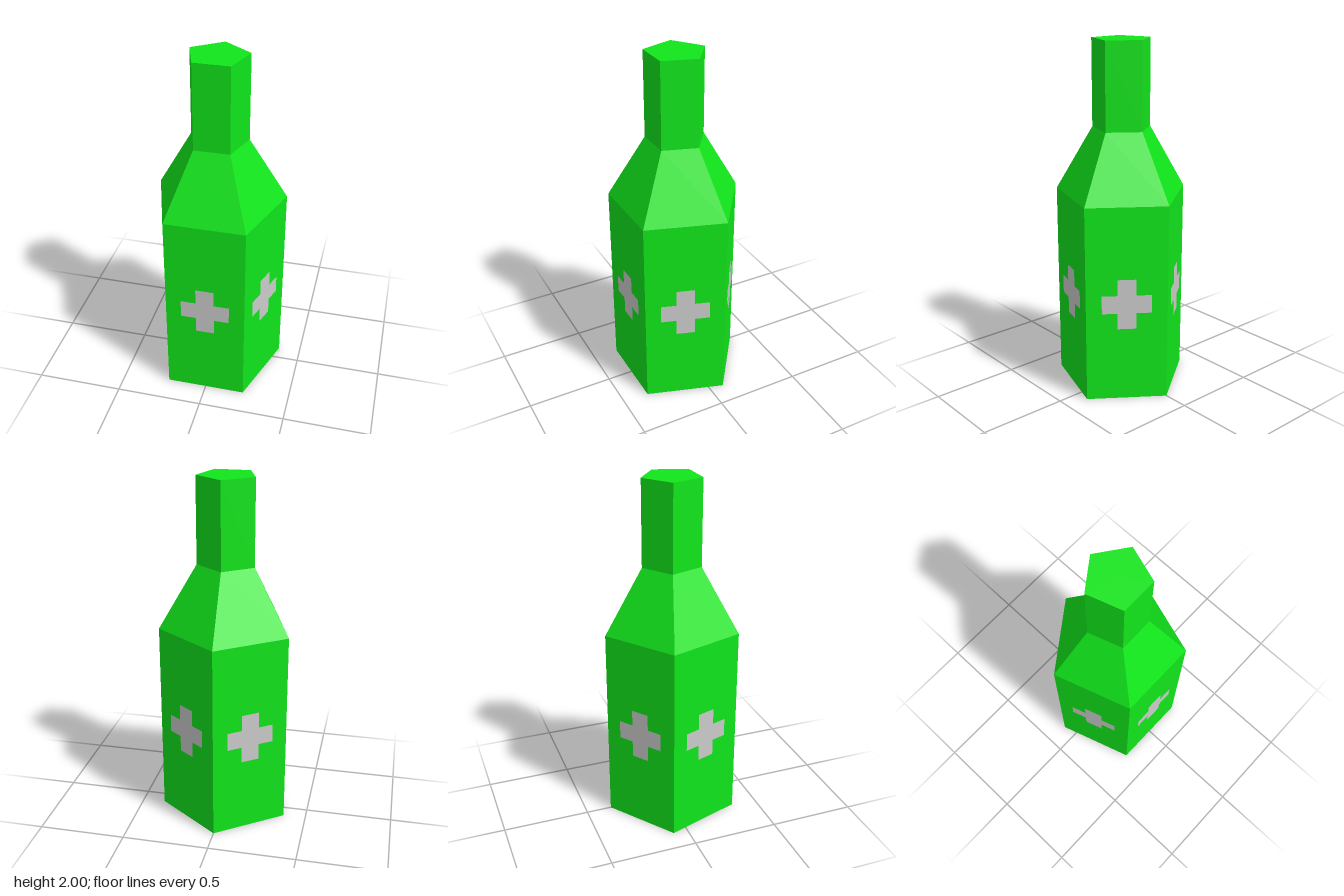
import * as THREE from 'three';

const SIDES = 5;
const BODY_R = 0.389, NECK_R = 0.171, CENTER_Z = 0.036;

// Plus-shaped outline centred on the origin
function crossShape(w, h, armX, armY) {
  const x = w / 2, y = h / 2, a = armX / 2, b = armY / 2;
  return new THREE.Shape([
    [-a, -y], [a, -y], [a, -b], [x, -b], [x, b], [a, b],
    [a, y], [-a, y], [-a, b], [-x, b], [-x, -b], [-a, -b],
  ].map(([px, py]) => new THREE.Vector2(px, py)));
}

export function createModel() {
  const group = new THREE.Group();
  group.name = 'bottle';
  const green = new THREE.MeshStandardMaterial({ color: 0x11e61b, flatShading: true });
  const grey = new THREE.MeshStandardMaterial({ color: 0xcccccc });

  // Closed five-sided bottle: body, sloping shoulder and neck, one corner at the back
  const profile = [[0, 0], [BODY_R, 0], [BODY_R, 1.14], [NECK_R, 1.51], [NECK_R, 2], [0, 2]]
    .map(([r, y]) => new THREE.Vector2(r, y));
  const glass = new THREE.Mesh(new THREE.LatheGeometry(profile, SIDES, Math.PI), green);
  glass.name = 'bottleBody';
  glass.position.z = CENTER_Z;
  group.add(glass);

  // One flat cross on each side of the body
  const crossGeo = new THREE.ShapeGeometry(crossShape(0.28, 0.294, 0.106, 0.106));
  const apothem = BODY_R * Math.cos(Math.PI / SIDES) + 0.002;
  for (let i = 0; i < SIDES; i++) {
    const angle = (i * 2 * Math.PI) / SIDES;
    const cross = new THREE.Mesh(crossGeo, grey);
    cross.name = `cross${i + 1}`;
    cross.position.set(Math.sin(angle) * apothem, 0.578, CENTER_Z + Math.cos(angle) * apothem);
    cross.rotation.y = angle;
    group.add(cross);
  }
  return group;
}
